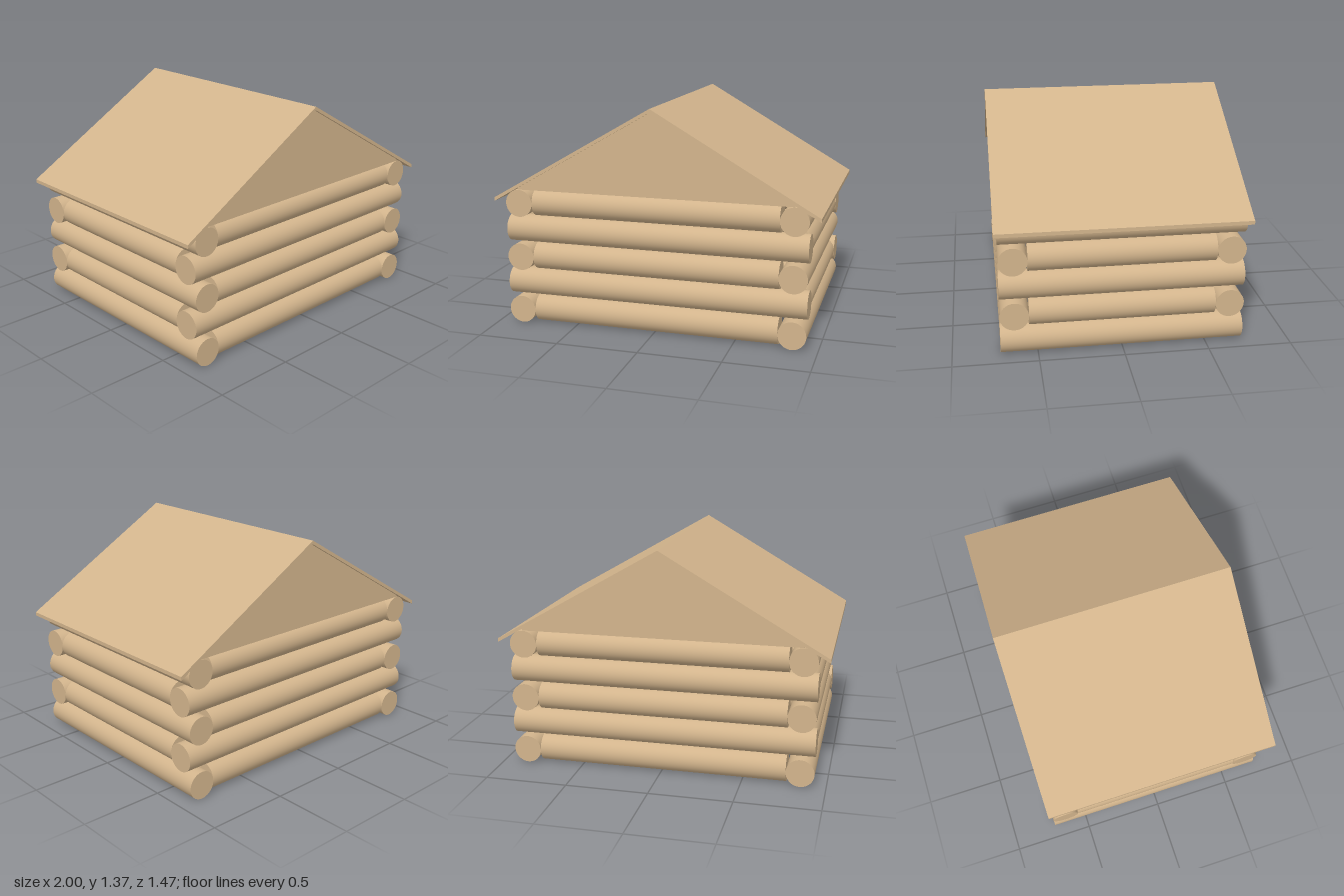
import * as THREE from 'three';

const R = 0.0848;          // log radius
const X = 0.847, Z = 0.634; // wall centre lines
const PEAK = 1.373, SLOPE = 0.577, ROOF_T = 0.022;

export function createModel() {
  const model = new THREE.Group();
  const wood = new THREE.MeshStandardMaterial({ color: 0xd2b48c });

  function add(parent, name, geometry) {
    const mesh = new THREE.Mesh(geometry, wood);
    mesh.name = name;
    parent.add(mesh);
    return mesh;
  }

  // Log walls: the long pair alternates between the sides and the front/back
  const walls = new THREE.Group();
  walls.name = 'logWalls';
  model.add(walls);
  for (let row = 0; row < 5; row++) {
    const y = R * (2 * row + 1);
    const sideLong = row % 2 === 0;
    const end = sideLong ? R : -R;
    for (const s of [-1, 1]) {
      const side = add(walls, 'sideLog', new THREE.CylinderGeometry(R, R, 2 * (Z + end), 40));
      side.rotation.x = Math.PI / 2;
      side.position.set(s * X, y, 0);
      const cross = add(walls, s > 0 ? 'frontLog' : 'backLog',
        new THREE.CylinderGeometry(R, R, 2 * (X - end), 40));
      cross.rotation.z = Math.PI / 2;
      cross.position.set(0, y, s * Z);
    }
  }

  // Extrude an outline in the front plane between two z values
  function slab(points, z0, z1) {
    const shape = new THREE.Shape(points.map(([x, y]) => new THREE.Vector2(x, y)));
    return new THREE.ExtrudeGeometry(shape, { depth: z1 - z0, bevelEnabled: false }).translate(0, 0, z0);
  }

  // Gable panels closing the ends of the roof
  const base = 10 * R + 0.002, inner = PEAK - ROOF_T;
  const gable = [[-X, base], [X, base], [X, inner - SLOPE * X], [0, inner], [-X, inner - SLOPE * X]];
  add(model, 'frontGable', slab(gable, Z, Z + R));
  add(model, 'backGable', slab(gable, -Z - R, -Z));

  // Thin pitched roof
  const eave = PEAK - SLOPE;
  add(model, 'roof', slab([
    [-1, eave - ROOF_T], [0, inner], [1, eave - ROOF_T], [1, eave], [0, PEAK], [-1, eave],
  ], -0.737, 0.737));

  return model;
}
